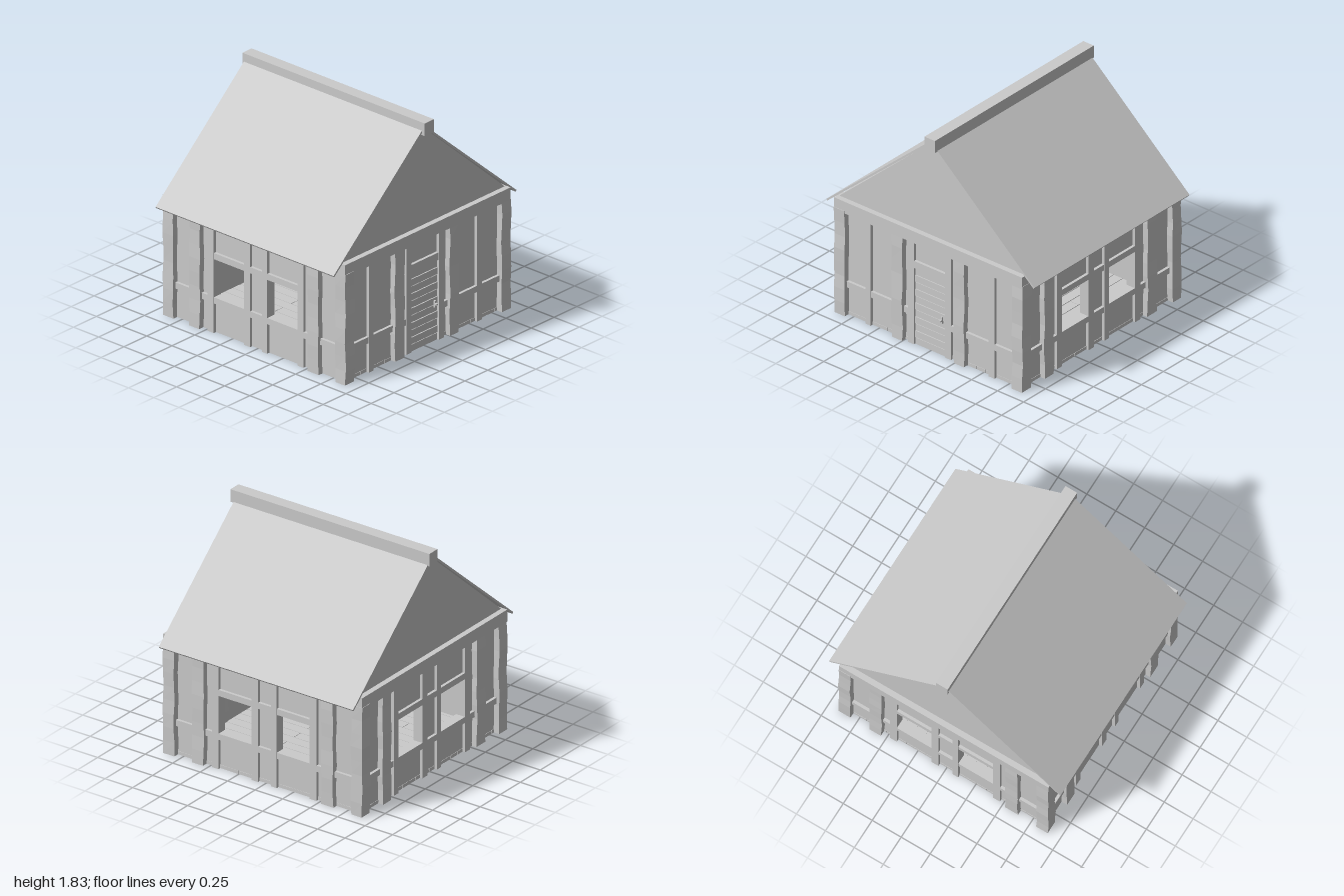
import * as THREE from 'three';

const material = new THREE.MeshStandardMaterial({ color: 0xcccccc, flatShading: true });

function add(parent, name, geometry) {
  const mesh = new THREE.Mesh(geometry, material);
  mesh.name = name;
  parent.add(mesh);
  return mesh;
}

// Box given by its minimum and maximum corners
function block(parent, name, x0, x1, y0, y1, z0, z1) {
  const g = new THREE.BoxGeometry(x1 - x0, y1 - y0, z1 - z0);
  g.translate((x0 + x1) / 2, (y0 + y1) / 2, (z0 + z1) / 2);
  return add(parent, name, g);
}

// Upright post with slightly uneven, hand-hewn faces
function post(parent, name, x0, x1, height, z0, z1, seed) {
  const g = new THREE.BoxGeometry(x1 - x0, height, z1 - z0, 1, 8, 1);
  g.translate((x0 + x1) / 2, height / 2, (z0 + z1) / 2);
  const p = g.attributes.position;
  for (let i = 0; i < p.count; i++) {
    const x = p.getX(i), y = p.getY(i), z = p.getZ(i);
    p.setX(i, x + 0.004 * Math.sin(y * 17 + x * 40 + seed));
    p.setZ(i, z + 0.003 * (Math.sin(y * 13 + x * 60 + seed * 2) - 1));
  }
  g.computeVertexNormals();
  return add(parent, name, g);
}

// Depths of the wall layers, measured outward from the house centre
const INNER = 0.8, PANEL = 0.857, STUD = 0.882, POST = 0.905;

function rectangle(Type, x0, x1, y0, y1) {
  return new Type([[x0, y0], [x1, y0], [x1, y1], [x0, y1]].map(([x, y]) => new THREE.Vector2(x, y)));
}

function infill(wall, holes) {
  const shape = rectangle(THREE.Shape, -0.83, 0.83, 0, 0.93);
  for (const h of holes) shape.holes.push(rectangle(THREE.Path, ...h));
  const g = new THREE.ExtrudeGeometry(shape, { depth: PANEL - INNER, bevelEnabled: false });
  g.translate(0, 0, INNER);
  add(wall, 'wallPanel', g);
}

const stud = (wall, x0, x1) => block(wall, 'stud', x0, x1, 0, 0.89, INNER, STUD);
const rail = (wall, x0, x1, y0, y1) => block(wall, 'rail', x0, x1, y0, y1, INNER, STUD - 0.002);

// Wall with two square window openings, facing +z
function windowWall(name) {
  const wall = new THREE.Group();
  wall.name = name;
  infill(wall, [[-0.42, -0.12, 0.29, 0.6], [0.11, 0.41, 0.29, 0.6]]);
  for (const [a, b] of [[-0.48, -0.42], [-0.12, -0.06], [0.06, 0.11], [0.41, 0.47]]) stud(wall, a, b);
  rail(wall, -0.81, 0.81, 0.24, 0.29);
  rail(wall, -0.42, 0.41, 0.6, 0.65);
  post(wall, 'post', -0.645, -0.54, 0.9, INNER, POST, 1);
  post(wall, 'post', 0.53, 0.635, 0.9, INNER, POST, 2);
  return wall;
}

// Wall with the plank door, facing +z
function doorWall(name) {
  const wall = new THREE.Group();
  wall.name = name;
  infill(wall, []);
  for (const [a, b] of [[-0.62, -0.57], [-0.21, -0.155], [0.145, 0.2], [0.565, 0.62]]) stud(wall, a, b);
  rail(wall, -0.82, -0.155, 0.24, 0.29);
  rail(wall, 0.145, 0.82, 0.24, 0.29);
  rail(wall, -0.155, 0.145, 0.65, 0.71);
  post(wall, 'post', -0.355, -0.25, 0.9, INNER, POST, 3);
  post(wall, 'post', 0.245, 0.345, 0.9, INNER, POST, 4);

  const door = new THREE.Group();
  door.name = 'door';
  wall.add(door);
  const n = 11, h = 0.65 / n;
  for (let i = 0; i < n; i++) {
    block(door, 'doorPlank', -0.153, 0.143, i * h, (i + 1) * h - 0.005, INNER, 0.868 + 0.002 * (i % 2));
  }
  block(door, 'handlePlate', 0.102, 0.116, 0.275, 0.33, 0.865, 0.882);
  block(door, 'handleGrip', 0.1, 0.118, 0.297, 0.311, 0.88, 0.9);
  return wall;
}

// Closed profile in the z-y plane, extruded along x
function extrudeAlongX(points, x0, x1) {
  const shape = new THREE.Shape(points.map(([z, y]) => new THREE.Vector2(-z, y)));
  const g = new THREE.ExtrudeGeometry(shape, { depth: x1 - x0, bevelEnabled: false });
  g.rotateY(Math.PI / 2);
  g.translate(x0, 0, 0);
  return g;
}

export function createModel() {
  const house = new THREE.Group();
  house.name = 'house';

  // Four walls
  const walls = [windowWall('frontWall'), doorWall('rightWall'), windowWall('backWall'), windowWall('leftWall')];
  walls.forEach((wall, i) => {
    wall.rotation.y = i * Math.PI / 2;
    house.add(wall);
  });

  // Corner posts and the ring of top beams
  for (const s of [-1, 1]) {
    for (const t of [-1, 1]) {
      const c = post(house, 'cornerPost', -0.05, 0.05, 0.9, -0.05, 0.05, s + 2 * t);
      c.position.set(s * 0.855, 0, t * 0.855);
    }
    block(house, 'sideBeam', s * 0.855 - 0.05, s * 0.855 + 0.05, 0.88, 0.98, -0.905, 0.905);
    block(house, 'eavesBeam', -0.81, 0.81, 0.88, 0.975, s * 0.853 - 0.05, s * 0.853 + 0.05);
  }

  // Plank floor
  const floor = new THREE.Group();
  floor.name = 'floor';
  house.add(floor);
  block(floor, 'floorBase', -0.85, 0.85, 0.004, 0.022, -0.85, 0.85);
  const boards = 20, w = 1.72 / boards;
  for (let i = 0; i < boards; i++) {
    const z = -0.86 + i * w;
    const split = i % 2 ? -0.3 : 0.25;
    block(floor, 'floorBoard', -0.86, split - 0.002, 0, 0.027, z, z + w - 0.005);
    block(floor, 'floorBoard', split + 0.002, 0.86, 0, 0.027, z, z + w - 0.005);
  }

  // Gable ends
  for (const s of [-1, 1]) {
    const x = s * 0.845;
    add(house, 'gable', extrudeAlongX([[-0.9, 0.97], [0.9, 0.97], [0, 1.77]], x - 0.015, x + 0.015));
  }

  // Thin pitched roof and ridge beam
  add(house, 'roof', extrudeAlongX(
    [[-1, 0.917], [0, 1.79], [1, 0.917], [0.992, 0.905], [0, 1.768], [-0.992, 0.905]], -0.89, 0.877));
  block(house, 'ridgeBeam', -0.905, 0.905, 1.725, 1.828, -0.067, 0.034);

  return house;
}
